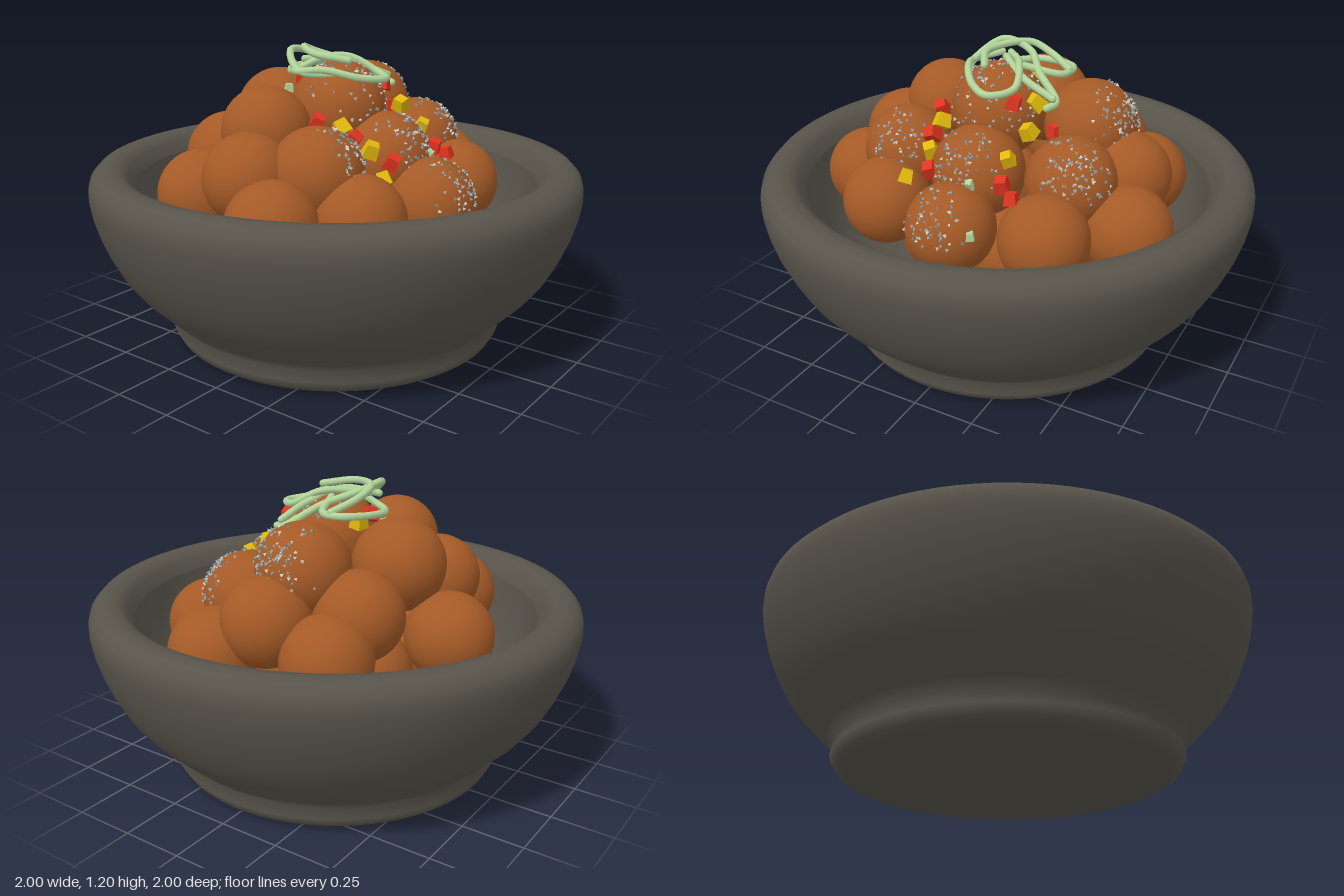
import * as THREE from 'three';
import { mergeGeometries } from 'three/addons/utils/BufferGeometryUtils.js';

const material = (name, color) => {
  const m = new THREE.MeshStandardMaterial({ color });
  m.name = name;
  return m;
};

// small seeded random generator
function seeded(seed) {
  return () => {
    seed = (seed * 1664525 + 1013904223) % 4294967296;
    return seed / 4294967296;
  };
}

export function createModel() {
  const model = new THREE.Group();
  model.name = 'bowlOfMeatballs';
  const stone = material('dark stoneware', 0x58544b);
  const meat = material('browned meat', 0xa55a27);
  const red = material('red pepper', 0xe03420);
  const yellow = material('yellow pepper', 0xe0b80c);
  const green = material('pale green', 0xb2d49a);
  const grey = material('grey seasoning', 0x8fa0a6);
  const pale = material('pale seasoning', 0xc4ccca);
  const rand = seeded(7);

  const add = (name, geometry, mat, parent = model) => {
    const mesh = new THREE.Mesh(geometry, mat);
    mesh.name = name;
    parent.add(mesh);
    return mesh;
  };
  const group = (name) => {
    const g = new THREE.Group();
    g.name = name;
    model.add(g);
    return g;
  };
  const lathe = (pts) => new THREE.LatheGeometry(pts.map(([r, y]) => new THREE.Vector2(r, y)), 96);

  // bowl: flat underside, foot ring flowing into wall and rolled rim, inside
  const bowl = group('bowl');
  add('underside', lathe([[0, 0], [0.61, 0]]), stone, bowl);
  add('footWallAndRim', lathe([
    [0.61, 0], [0.645, 0.008], [0.67, 0.025], [0.692, 0.065], [0.674, 0.105], [0.72, 0.148], [0.78, 0.205],
    [0.84, 0.265], [0.893, 0.335], [0.935, 0.415], [0.968, 0.495], [0.988, 0.565], [0.998, 0.625],
    [0.998, 0.665], [0.988, 0.7], [0.96, 0.73], [0.92, 0.74], [0.88, 0.735], [0.845, 0.71], [0.82, 0.66],
  ]), stone, bowl);
  add('inside', lathe([
    [0.82, 0.66], [0.8, 0.56], [0.76, 0.45], [0.69, 0.34], [0.58, 0.25], [0.42, 0.2], [0, 0.19],
  ]), stone, bowl);

  // heap of meatballs: x, y, z, radius
  const balls = {
    top: [-0.02, 0.955, 0.03, 0.19], upperRight: [0.33, 0.91, -0.08, 0.185],
    upperLeft: [-0.33, 0.895, -0.09, 0.175], upperBack: [0.02, 0.895, -0.31, 0.185],
    middleFront: [0, 0.77, 0.24, 0.185], middleFrontLeft: [-0.36, 0.77, 0.18, 0.18],
    middleFrontRight: [0.36, 0.77, 0.16, 0.18], middleLeft: [-0.505, 0.75, -0.03, 0.175],
    middleRight: [0.505, 0.75, -0.04, 0.175], middleBackLeft: [-0.3, 0.765, -0.31, 0.175],
    middleBackRight: [0.3, 0.765, -0.31, 0.175], lowerFront: [0, 0.625, 0.455, 0.175],
    lowerFrontLeft: [-0.35, 0.62, 0.37, 0.175], lowerFrontRight: [0.35, 0.62, 0.37, 0.175],
    lowerLeft: [-0.59, 0.615, 0.15, 0.175], lowerRight: [0.59, 0.615, 0.15, 0.175],
    lowerBackLeft: [-0.485, 0.645, -0.295, 0.175], lowerBackRight: [0.485, 0.645, -0.295, 0.175],
    lowerBack: [0, 0.64, -0.53, 0.175],
  };
  const heap = group('meatballs');
  const ball = (name, [x, y, z, r]) =>
    add(name, new THREE.SphereGeometry(r, 40, 28), meat, heap).position.set(x, y, z);
  for (const [name, spec] of Object.entries(balls)) ball(name + 'Meatball', spec);
  for (let i = 0; i < 6; i++) {
    const a = i * Math.PI / 3;
    ball('buriedMeatball', [0.3 * Math.cos(a), 0.48, 0.3 * Math.sin(a), 0.175]);
  }

  // seasoning flakes scattered around a direction on some meatballs
  const flakes = group('seasoning');
  const patches = [
    ['top', [0.1, 0.75, 0.4], 1.1, 130], ['upperRight', [0.8, 0.5, 0.15], 0.7, 100],
    ['middleFrontLeft', [0.25, 0.6, 0.7], 0.6, 65], ['middleFrontRight', [0.35, 0.55, 0.65], 0.7, 100],
    ['middleFront', [0, 0.5, 0.8], 0.7, 85], ['lowerFront', [0, 0.6, 0.8], 0.65, 60],
  ];
  const kinds = [[grey, []], [pale, []]];
  for (const [name, dir, spread, count] of patches) {
    const [x, y, z, r] = balls[name];
    for (let i = 0; i < count; i++) {
      const n = new THREE.Vector3(...dir).normalize();
      const off = new THREE.Vector3(rand() - 0.5, rand() - 0.5, rand() - 0.5).multiplyScalar(spread * 1.9);
      n.add(off).normalize();
      const flake = new THREE.TetrahedronGeometry(0.007 + rand() * 0.004);
      flake.rotateX(rand() * 6).rotateY(rand() * 6);
      n.multiplyScalar(r + 0.002);
      flake.translate(x + n.x, y + n.y, z + n.z);
      kinds[i % 3 < 2 ? 0 : 1][1].push(flake);
    }
  }
  for (const [mat, list] of kinds) add('seasoningFlakes', mergeGeometries(list), mat, flakes);

  // diced peppers, cut a little unevenly
  const dice = group('dicedPeppers');
  const cubes = (name, mat, size, spots) => spots.forEach(([x, y, z]) => {
    const s = size * (0.9 + rand() * 0.2);
    const geometry = new THREE.CylinderGeometry(s * 0.58, s * 0.76, s, 4).toNonIndexed();
    geometry.computeVertexNormals();
    const cube = add(name, geometry, mat, dice);
    cube.position.set(x, y, z);
    cube.rotation.set(rand() * 1.2 - 0.3, rand() * 3, rand() * 1.2 - 0.6);
  });
  cubes('redDice', red, 0.05, [
    [-0.25, 0.94, 0.1], [-0.21, 0.885, 0.24], [-0.14, 0.8, 0.37], [0.17, 0.805, 0.365],
    [0.225, 0.77, 0.39], [0.11, 1.045, 0.155], [0.25, 0.93, 0.08], [-0.03, 1.06, -0.14],
  ]);
  cubes('yellowDice', yellow, 0.052, [
    [-0.2, 0.92, 0.175], [-0.18, 0.845, 0.3], [-0.235, 0.76, 0.395], [0.165, 1.03, 0.08],
    [0.19, 0.955, 0.19], [0.165, 0.885, 0.31], [0.06, 1.05, -0.15],
  ]);
  cubes('greenDice', green, 0.033, [[0.06, 0.8, 0.41], [-0.08, 1.02, -0.18], [0.14, 0.67, 0.55]]);

  // curled green strands on top
  const strands = [
    [[-0.12, 1.1, 0.08], [-0.18, 1.11, -0.04], [-0.1, 1.18, -0.15], [0.03, 1.16, -0.13],
      [0.13, 1.11, -0.02], [0.245, 1.04, 0.07], [0.23, 1.03, 0.12]],
    [[0.06, 1.13, -0.02], [0.2, 1.1, -0.08], [0.2, 1.1, -0.18], [0.03, 1.09, -0.24],
      [-0.07, 1.09, -0.16], [-0.02, 1.15, -0.03], [0.1, 1.11, 0.06], [0.24, 1.06, 0.09]],
    [[-0.1, 1.13, -0.14], [-0.18, 1.11, -0.06], [-0.15, 1.12, 0.05], [-0.07, 1.09, 0.16],
      [0.03, 1.08, 0.22], [0.1, 1.09, 0.14], [0.06, 1.15, 0.02], [-0.05, 1.14, -0.12]],
    [[-0.05, 1.15, 0.1], [-0.1, 1.17, -0.02], [0.01, 1.18, -0.17], [0.1, 1.15, -0.17], [0.21, 1.11, -0.12]],
  ];
  const garnish = group('garnish');
  for (const pts of strands) {
    const curve = new THREE.CatmullRomCurve3(pts.map((p) => new THREE.Vector3(...p)));
    add('greenStrand', new THREE.TubeGeometry(curve, 64, 0.015, 8), green, garnish);
    for (const end of [pts[0], pts[pts.length - 1]])
      add('strandTip', new THREE.SphereGeometry(0.015, 8, 6), green, garnish).position.set(...end);
  }
  return model;
}
